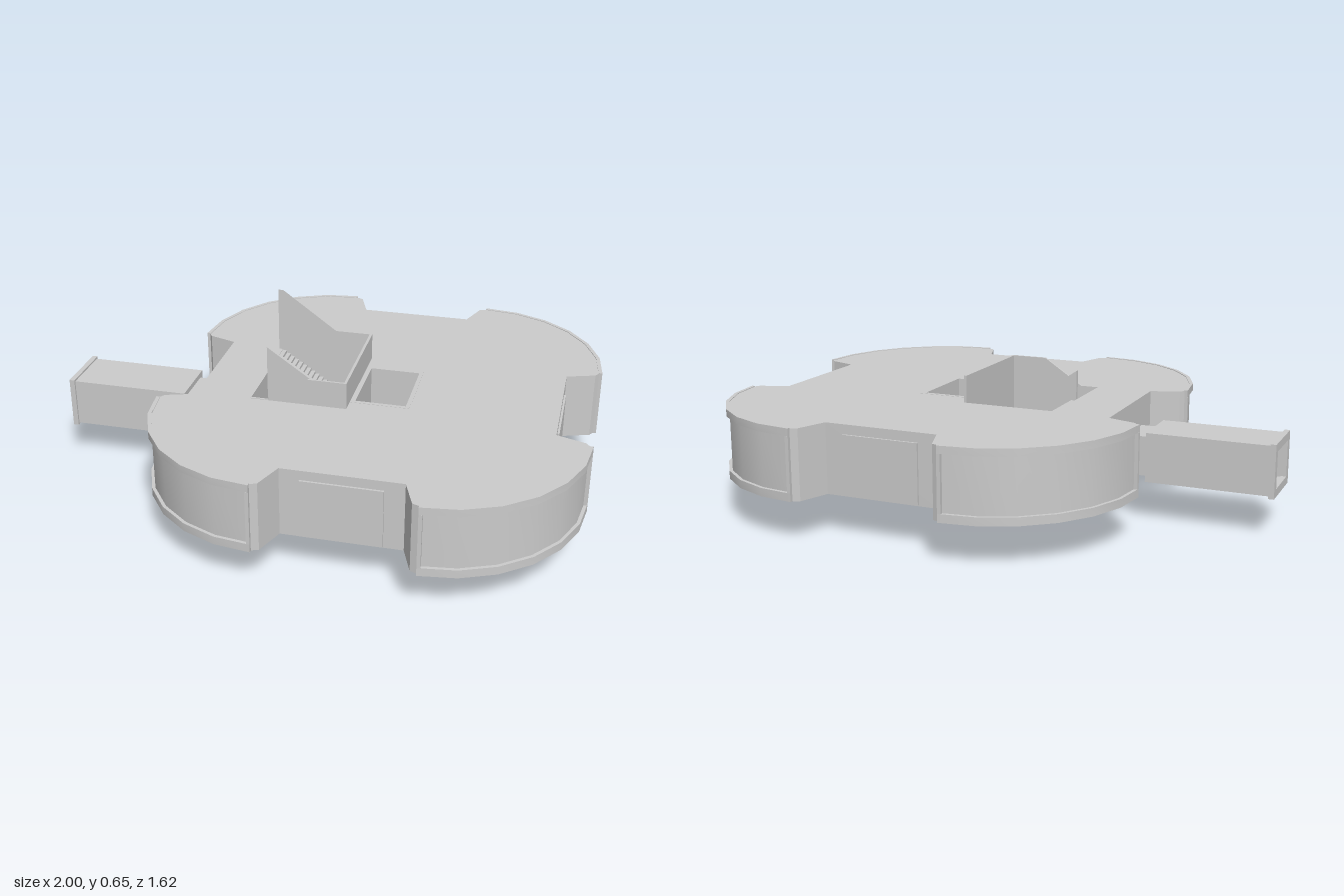
import * as THREE from 'three';
import { toCreasedNormals } from 'three/addons/utils/BufferGeometryUtils.js';

const CX = 0.2125;            // plan centre of the main hull
const Y0 = 0.15, Y1 = 0.405;  // hull floor and roof
const ARC = { x: 0.2775, z: 0.29, rx: 0.507, rz: 0.522 };

export function createModel() {
  const model = new THREE.Group();
  const mat = new THREE.MeshStandardMaterial({ color: 0xcccccc });

  const add = (name, geo, material = mat) => {
    const mesh = new THREE.Mesh(geo, material);
    mesh.name = name;
    model.add(mesh);
    return mesh;
  };
  const box = (name, x0, x1, y0, y1, z0, z1) =>
    add(name, new THREE.BoxGeometry(x1 - x0, y1 - y0, z1 - z0)
      .translate((x0 + x1) / 2, (y0 + y1) / 2, (z0 + z1) / 2));
  const shapeOf = (pts) => new THREE.Shape(pts.map(([x, y]) => new THREE.Vector2(x, y)));
  const rect = (x0, x1, y0, y1) => shapeOf([[x0, y0], [x1, y0], [x1, y1], [x0, y1]]);

  // Plan shape (x, z) raised between two heights
  const slab = (name, shape, y0, y1) => {
    const geo = new THREE.ExtrudeGeometry(shape, { depth: y1 - y0, bevelEnabled: false });
    geo.rotateX(Math.PI / 2).translate(0, y1, 0);
    return add(name, toCreasedNormals(geo, 0.5));
  };
  // Upright wall drawn in (x, y) with a thickness along z
  const wall = (name, pts, z, t) =>
    add(name, new THREE.ExtrudeGeometry(shapeOf(pts), { depth: t, bevelEnabled: false }).translate(0, 0, z));
  // Hollow rectangular tube running along x
  const duct = (name, x0, x1, y0, y1, hz, t) => {
    const shape = rect(-hz, hz, y0, y1);
    shape.holes.push(rect(-hz + t, hz - t, y0 + t, y1 - t));
    const geo = new THREE.ExtrudeGeometry(shape, { depth: x1 - x0, bevelEnabled: false });
    return add(name, geo.rotateY(Math.PI / 2).translate(x0, 0, 0));
  };
  // Points of a lobe's quarter arc, before mirroring
  const arc = (inset, a0 = 0, a1 = Math.PI / 2, n = 6) =>
    Array.from({ length: n + 1 }, (_, i) => {
      const a = a0 + (a1 - a0) * i / n;
      return [ARC.x + (ARC.rx - inset) * Math.cos(a), ARC.z + (ARC.rz - inset) * Math.sin(a)];
    });

  // Main hull: four rounded lobes joined by recessed sides
  const quarter = [[0.655, 0.235], [0.76, 0.27], ...arc(0.012), [0.2525, 0.79], [0.2125, 0.68]];
  const flip = (sx, sz) => quarter.map(([x, z]) => [CX + sx * x, sz * z]);
  const hull = shapeOf([
    ...flip(1, 1), ...flip(-1, 1).reverse(), ...flip(-1, -1), ...flip(1, -1).reverse(),
  ]);
  hull.holes.push(rect(-0.235, 0.12, -0.22, 0.22), rect(0.13, 0.335, -0.14, 0.16));
  slab('hull', hull, Y0, Y1);

  // Raised window frames around the lobes
  const strip = (sx, sz, a0, a1, n) => shapeOf(
    [...arc(0, a0, a1, n), ...arc(0.014, a0, a1, n).reverse()].map(([x, z]) => [CX + sx * x, sz * z]));
  for (const sx of [1, -1]) for (const sz of [1, -1]) {
    const H = Math.PI / 2;
    slab('windowFrameTop', strip(sx, sz, 0, H, 6), 0.38, Y1 + 0.002);
    slab('windowFrameBottom', strip(sx, sz, 0, H, 6), Y0, 0.18);
    slab('windowFramePost', strip(sx, sz, 0, 0.025, 1), 0.18, 0.38);
    slab('windowFramePost', strip(sx, sz, H - 0.025, H, 1), 0.18, 0.38);
  }

  // Shallow door panels on the recessed sides
  box('frontDoor', 0.07, 0.355, 0.155, 0.37, 0.675, 0.688);
  box('backDoor', 0.07, 0.355, 0.155, 0.37, -0.688, -0.675);
  box('sideDoor', 0.86, 0.875, 0.155, 0.37, -0.15, 0.16);

  // Docking tunnel
  duct('tunnelNeckSeal', -0.465, -0.44, 0.17, 0.305, 0.073, 0.01);
  duct('tunnelNeck', -0.54, -0.46, 0.165, 0.31, 0.08, 0.012);
  duct('tunnel', -0.985, -0.535, 0.15, 0.33, 0.105, 0.02);
  duct('tunnelFlange', -1, -0.98, 0.143, 0.337, 0.113, 0.03);
  const collar = new THREE.Shape(rect(-0.105, 0.105, 0.15, 0.33).getPoints());
  collar.holes.push(rect(-0.07, 0.07, 0.175, 0.3));
  add('tunnelEndWall', new THREE.ExtrudeGeometry(collar, { depth: 0.01, bevelEnabled: false })
    .rotateY(Math.PI / 2).translate(-0.545, 0, 0));

  // Lift shaft lining with a lip under the floor
  const lining = rect(0.125, 0.34, -0.145, 0.165);
  lining.holes.push(rect(0.14, 0.325, -0.128, 0.15));
  slab('shaftLining', lining, 0.148, Y1 + 0.001);
  const lip = rect(0.13, 0.335, -0.115, 0.12);
  lip.holes.push(rect(0.14, 0.325, -0.105, 0.11));
  slab('shaftLip', lip, 0.141, 0.151);

  // Switchback stairs: lower flight in front, upper flight behind
  const flight = (name, n, x0, x1, y0, y1, z0, z1) => {
    const run = (x1 - x0) / n, rise = (y1 - y0) / n;
    for (let i = 0; i < n; i++)
      box(name, x0 + i * run, x0 + (i + 1) * run,
        y0 + i * rise + Math.min(0, rise) - 0.012, y0 + (i + 1) * rise, z0, z1);
  };
  const step = (name, n, x0, x1, yLow, yHigh, up, z0, z1) => {
    const run = (x1 - x0) / n, rise = (yHigh - yLow) / n;
    for (let i = 0; i < n; i++) {
      const top = up ? yLow + (i + 1) * rise : yHigh - i * rise;
      box(name, x0 + i * run, x0 + (i + 1) * run, top - rise - 0.012, top, z0, z1);
    }
  };
  step('lowerStep', 9, -0.17, -0.02, 0.165, 0.26, true, 0.015, 0.215);
  step('upperStep', 13, -0.235, -0.02, 0.26, 0.403, false, -0.215, -0.02);
  box('stairLanding', -0.02, 0.115, 0.245, 0.26, -0.215, 0.215);
  box('stairFoot', -0.235, -0.17, 0.146, 0.163, 0.015, 0.215);

  // Stairwell walls, following the slope of each flight
  wall('stairFrontWall', [[-0.235, Y0], [0.118, Y0], [0.118, 0.505], [-0.02, 0.505],
    [-0.17, 0.407], [-0.235, 0.407]], 0.212, 0.008);
  box('stairEndWall', 0.112, 0.122, Y0, 0.505, -0.22, 0.22);
  wall('stairDivider', [[-0.235, 0.3], [-0.02, 0.15], [-0.02, 0.365], [-0.235, 0.512]], -0.012, 0.015);

  // Back wall is a thin sheet, seen from the stair side
  const sheet = new THREE.ShapeGeometry(shapeOf([[-0.25, 0.16], [-0.02, 0.0], [-0.02, Y0],
    [0.115, Y0], [0.115, 0.505], [-0.02, 0.505], [-0.23, 0.655], [-0.25, 0.655]]));
  add('stairBackWall', sheet.translate(0, 0, -0.218));

  return model;
}
